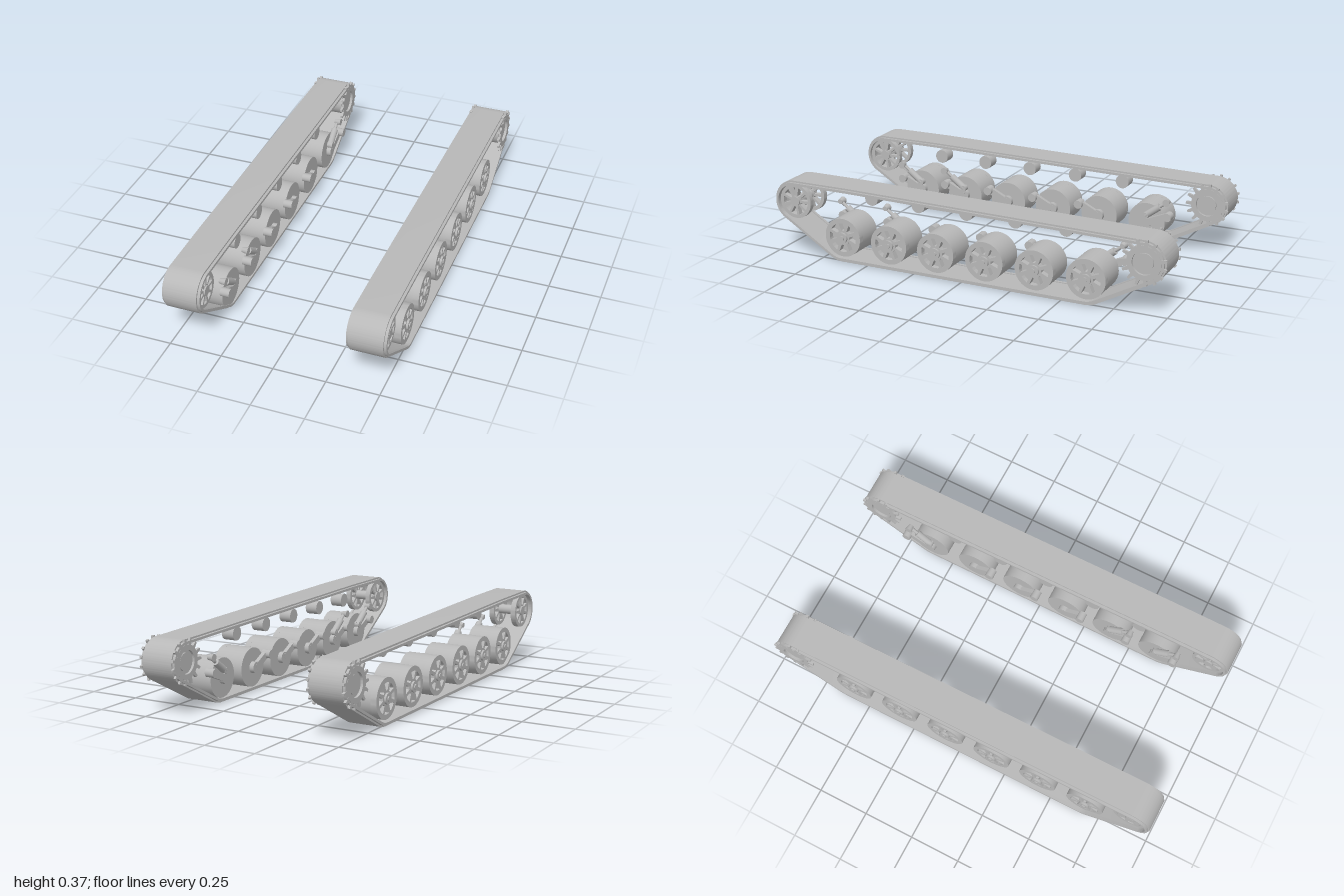
import * as THREE from 'three';
import { toCreasedNormals } from 'three/addons/utils/BufferGeometryUtils.js';

const steel = new THREE.MeshStandardMaterial({ color: 0xb8b8b8 });
steel.name = 'steel grey';

// Circles the belt wraps around: [z, y, outer radius]
const IDLER = [0.895, 0.265], SPROCKET = [-0.892, 0.246];
const WRAP = [
  [...IDLER, 0.105], [0.6, 0.336, 0.034], [-0.53, 0.328, 0.034],
  [...SPROCKET, 0.101], [-0.616, 0.12, 0.12], [0.637, 0.12, 0.12],
];
const WHEEL_Z = [0.637, 0.386, 0.138, -0.113, -0.364, -0.616];
const ROLLER_Z = [0.525, 0.273, 0.022, -0.228, -0.48];

// Taut loop around the circles, shrunk by an inset
function beltLoop(inset) {
  const pts = [];
  for (let i = 0; i < 144; i++) {
    const a = (i / 144) * Math.PI * 2, c = Math.cos(a), s = Math.sin(a);
    const w = WRAP.reduce((best, k) =>
      k[0] * c + k[1] * s + k[2] > best[0] * c + best[1] * s + best[2] ? k : best);
    pts.push(new THREE.Vector2(w[0] + (w[2] - inset) * c, w[1] + (w[2] - inset) * s));
  }
  return pts;
}

// Extrude a (z, y) outline across x, centred on x = 0
function slab(shape, width) {
  const g = new THREE.ExtrudeGeometry(shape, { depth: width, bevelEnabled: false, curveSegments: 32 });
  g.translate(0, 0, -width / 2).rotateY(-Math.PI / 2);
  return toCreasedNormals(g, 0.5);
}

function beltGeometry(outer, inner, width) {
  const shape = new THREE.Shape(beltLoop(outer));
  shape.holes.push(new THREE.Path(beltLoop(inner)));
  return slab(shape, width);
}

// Disc with sector-shaped windows between its spokes
function spokedDisc(r, r0, r1, n, width) {
  const shape = new THREE.Shape().absarc(0, 0, r, 0, Math.PI * 2);
  for (let i = 0; i < n; i++) {
    const a = (i / n) * Math.PI * 2, h = Math.PI / n;
    const hole = new THREE.Path();
    hole.absarc(0, 0, r1, a - h * 0.74, a + h * 0.74, false);
    hole.absarc(0, 0, r0, a + h * 0.45, a - h * 0.45, true);
    hole.closePath();
    shape.holes.push(hole);
  }
  return slab(shape, width);
}

// Toothed ring of the drive sprocket
function toothedRing(n, root, tip, bore, width) {
  const pts = [];
  for (let i = 0; i < n; i++) {
    for (const [f, r] of [[-0.5, root], [-0.26, root], [-0.12, tip], [0.12, tip], [0.26, root]]) {
      const a = ((i + f) / n) * Math.PI * 2;
      pts.push(new THREE.Vector2(r * Math.cos(a), r * Math.sin(a)));
    }
  }
  const shape = new THREE.Shape(pts);
  shape.holes.push(new THREE.Path().absarc(0, 0, bore, 0, Math.PI * 2));
  return slab(shape, width);
}

function add(parent, name, geometry, x = 0, y = 0, z = 0) {
  const m = new THREE.Mesh(geometry, steel);
  m.name = name;
  m.position.set(x, y, z);
  parent.add(m);
  return m;
}

// Cylinder lying along x from x0 to x1 on side s
function axle(parent, name, s, x0, x1, r, y, z, rInner = r) {
  const g = new THREE.CylinderGeometry(r, rInner, x1 - x0, 32).rotateZ(-s * Math.PI / 2);
  return add(parent, name, g, s * (x0 + x1) / 2, y, z);
}

// Bar or rod in the (z, y) plane between two points
function link(parent, name, x, a, b, geometry) {
  const m = add(parent, name, geometry, x, (a[1] + b[1]) / 2, (a[0] + b[0]) / 2);
  m.rotation.x = Math.atan2(b[0] - a[0], b[1] - a[1]);
  return m;
}

function roadWheel(s, z, index) {
  const g = new THREE.Group();
  g.name = 'roadWheel';
  const y = 0.118, last = index === 5;
  const dir = last ? -1 : 1;
  axle(g, 'wheelDrum', s, 0.345, 0.475, 0.095, y, z);
  add(g, 'wheelFace', spokedDisc(0.095, 0.036, 0.072, 8, 0.03), s * 0.488, y, z);
  axle(g, 'hubCap', s, 0.475, 0.513, 0.026, y, z);
  axle(g, 'hubBolt', s, 0.51, 0.518, 0.012, y, z);
  axle(g, 'innerHub', s, 0.322, 0.35, 0.028, y, z);

  // Swing arm and its pivot
  const hub = [z, y], pivot = [z + dir * (last ? 0.119 : 0.098), 0.167];
  const len = Math.hypot(pivot[0] - hub[0], pivot[1] - hub[1]);
  link(g, 'swingArm', s * 0.331, hub, pivot, new THREE.BoxGeometry(0.02, len, 0.034));
  axle(g, 'armPivot', s, 0.3, 0.345, 0.021, pivot[1], pivot[0]);

  // Shock absorber on the end wheels and the second wheel
  if (index < 2 || last) {
    const foot = [z + dir * 0.0, 0.155], top = [z + dir * 0.108, 0.236];
    const mid = [z + dir * 0.07, 0.207];
    link(g, 'damperBody', s * 0.334, foot, mid,
      new THREE.CylinderGeometry(0.017, 0.017, 0.09, 20));
    link(g, 'damperRod', s * 0.334, mid, top,
      new THREE.CylinderGeometry(0.008, 0.008, 0.06, 16));
    axle(g, 'damperMount', s, 0.313, 0.345, 0.012, top[1], top[0], 0.018);
    axle(g, 'damperFoot', s, 0.318, 0.347, 0.016, foot[1], foot[0]);
  }
  return g;
}

function idlerWheel(s) {
  const g = new THREE.Group();
  g.name = 'idlerWheel';
  const [z, y] = IDLER;
  for (const x of [0.37, 0.49]) {
    add(g, 'idlerDisc', spokedDisc(0.085, 0.028, 0.068, 9, 0.026), s * x, y, z);
  }
  axle(g, 'idlerAxle', s, 0.35, 0.51, 0.024, y, z);
  return g;
}

function driveSprocket(s) {
  const g = new THREE.Group();
  g.name = 'driveSprocket';
  const [z, y] = SPROCKET;
  for (const x of [0.347, 0.519]) {
    add(g, 'toothedRing', toothedRing(15, 0.08, 0.107, 0.055, 0.012), s * x, y, z);
  }
  axle(g, 'sprocketDrum', s, 0.358, 0.508, 0.068, y, z);
  axle(g, 'sprocketHub', s, 0.35, 0.515, 0.042, y, z);
  return g;
}

function trackUnit(s) {
  const g = new THREE.Group();
  g.name = s > 0 ? 'leftTrack' : 'rightTrack';
  const shift = s > 0 ? 0 : 0.03; // running gear is staggered between sides

  // Belt with thinner edge strips
  add(g, 'trackBelt', beltGeometry(0, 0.016, 0.158), s * 0.433);
  for (const x of [0.348, 0.517]) {
    add(g, 'trackEdge', beltGeometry(0.008, 0.02, 0.014), s * x);
  }

  WHEEL_Z.forEach((z, i) => g.add(roadWheel(s, z + shift, i)));
  ROLLER_Z.forEach((z) => axle(g, 'returnRoller', s, 0.352, 0.415, 0.034, 0.302, z + shift));
  g.add(idlerWheel(s), driveSprocket(s));
  return g;
}

export function createModel() {
  const model = new THREE.Group();
  model.name = 'trackedRunningGear';
  for (const s of [1, -1]) model.add(trackUnit(s));
  return model;
}
